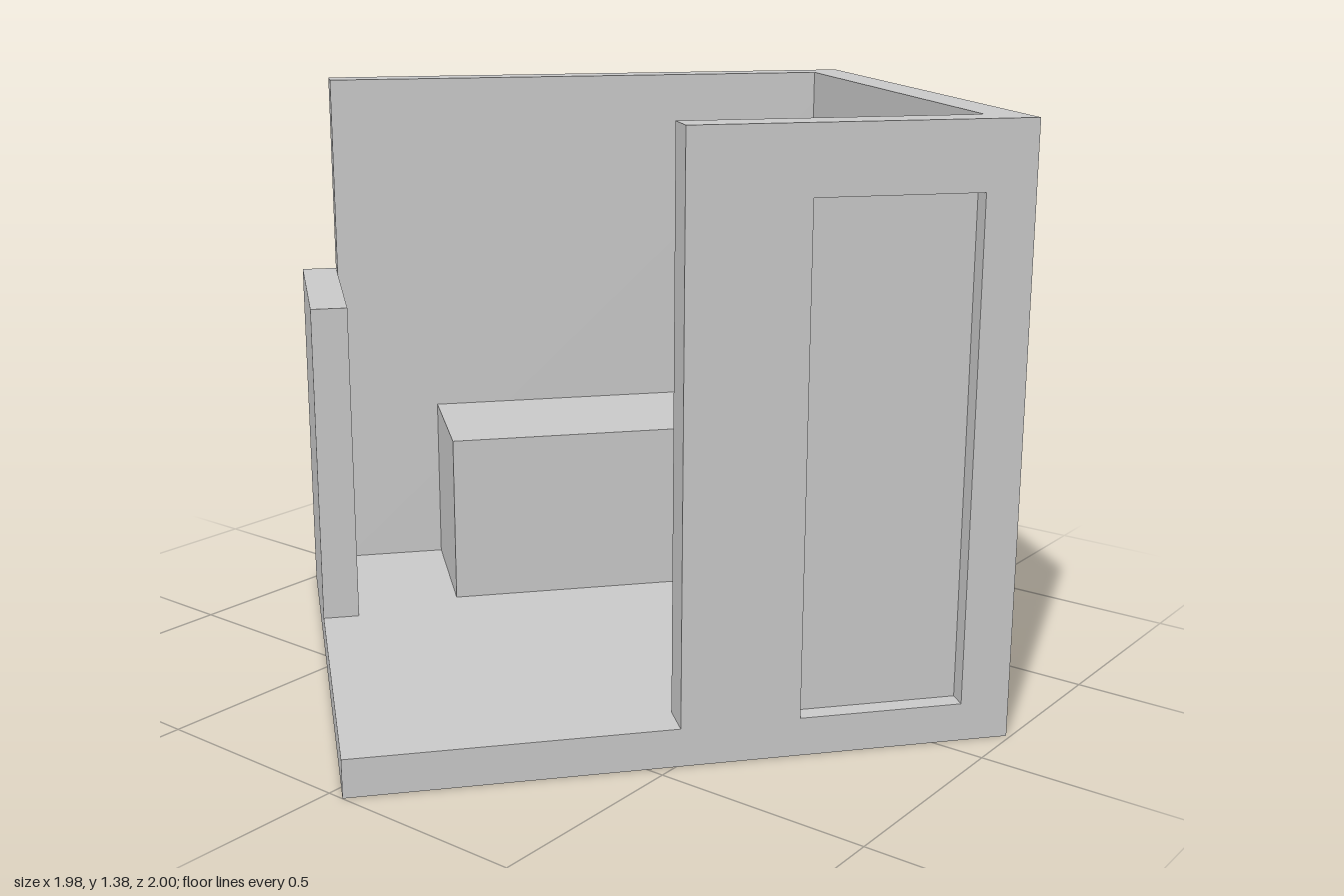
import * as THREE from 'three';

const W = 1.346, L = 1.48, H = 1.385; // room footprint and wall height
const T = 0.088;                      // wall and floor thickness
const X = W / 2, Z = L / 2;

const grey = new THREE.MeshStandardMaterial({ color: 0xcccccc, flatShading: true });

// Box given by its two opposite corners
function block(name, [x0, y0, z0], [x1, y1, z1]) {
  const mesh = new THREE.Mesh(new THREE.BoxGeometry(x1 - x0, y1 - y0, z1 - z0), grey);
  mesh.position.set((x0 + x1) / 2, (y0 + y1) / 2, (z0 + z1) / 2);
  mesh.name = name;
  return mesh;
}

// Half-thick wall layer drawn in (z, y), extruded from x towards -x
function layer(name, shape, x) {
  const geometry = new THREE.ExtrudeGeometry(shape, { depth: T / 2, bevelEnabled: false });
  const mesh = new THREE.Mesh(geometry, grey);
  mesh.rotation.y = -Math.PI / 2;
  mesh.position.x = x;
  mesh.name = name;
  return mesh;
}

const outline = (points) => points.map(([z, y]) => new THREE.Vector2(z, y));

export function createModel() {
  const model = new THREE.Group();
  model.name = 'room';
  const room = new THREE.Group();
  room.name = 'turnedRoom';
  room.rotation.y = THREE.MathUtils.degToRad(-40);
  model.add(room);

  room.add(block('floor', [-X, 0, -Z], [X, T, Z]));
  room.add(block('backWall', [-X + T, T, -Z], [X - T, H, -Z + T]));
  room.add(block('lowFrontWall', [-X, T, Z - T], [-0.133, 0.878, Z]));

  // Window wall: plain inner layer, outer layer with a window recess
  const windowEnd = Z - T;
  const windowShape = new THREE.Shape(outline([[-Z, T], [windowEnd, T], [windowEnd, H], [-Z, H]]));
  windowShape.holes.push(new THREE.Path(outline(
    [[-0.557, 0.607], [-0.557, 1.36], [0.132, 1.36], [0.132, 0.607]])));
  room.add(layer('windowWallOuter', windowShape, -X + T / 2));
  room.add(block('windowWallInner', [-X + T / 2, T, -Z], [-X + T, H, windowEnd]));

  // Door wall: plain inner layer, outer layer with a doorway recess down to the floor
  const doorEnd = 0.014, d0 = -0.628, d1 = -0.255, doorTop = 1.232;
  const doorShape = new THREE.Shape(outline([
    [-Z, T], [d0, T], [d0, doorTop], [d1, doorTop], [d1, T], [doorEnd, T], [doorEnd, H], [-Z, H]]));
  room.add(layer('doorWallOuter', doorShape, X));
  room.add(block('doorWallInner', [X - T, T, -Z], [X - T / 2, H, doorEnd]));

  // Bed in the back corner
  room.add(block('bed', [-X + T, T, -Z + T], [-0.212, 0.507, 0.397]));

  return model;
}
